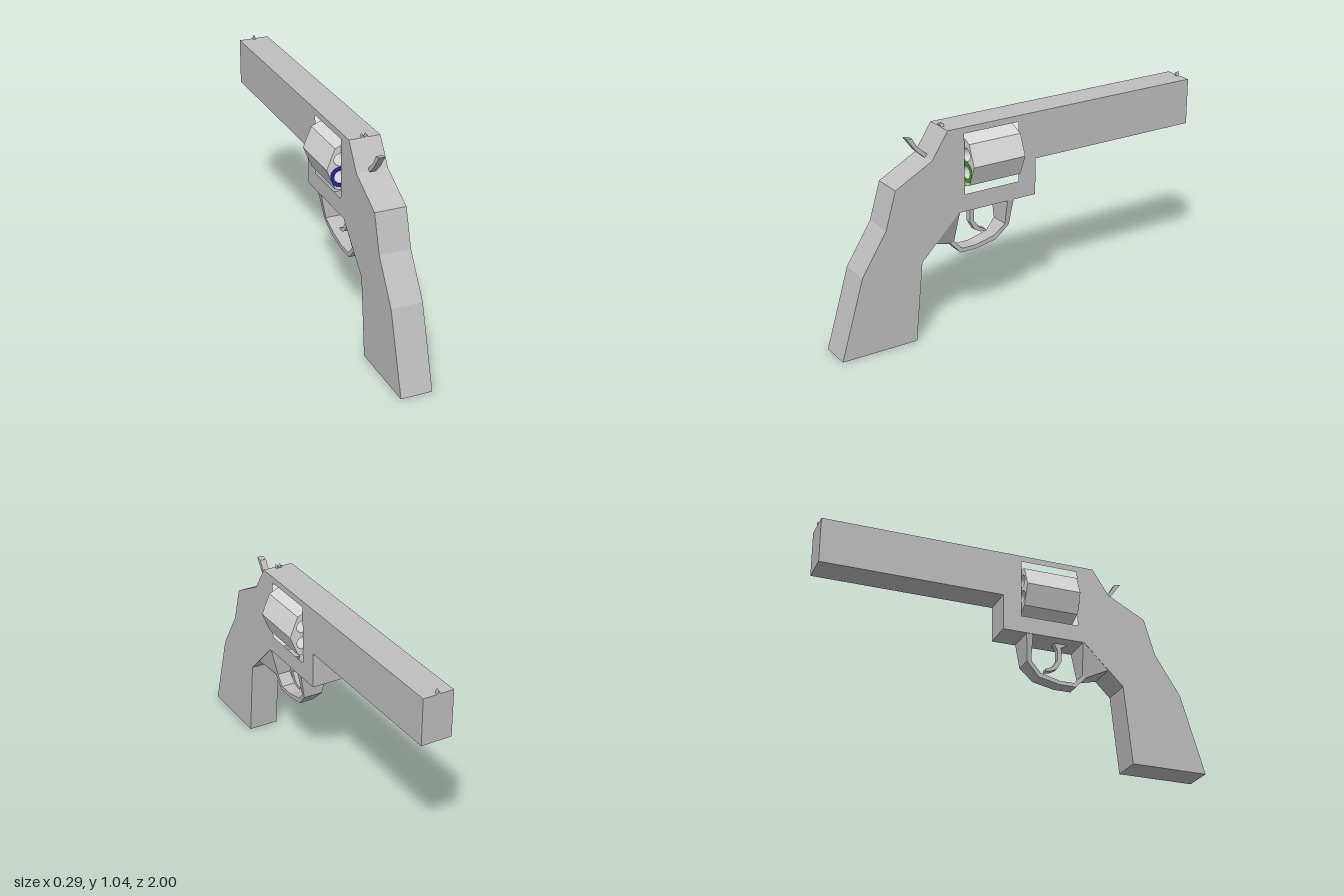
import * as THREE from 'three';

const mat = (name, color, extra = {}) => {
  const m = new THREE.MeshStandardMaterial({ color, ...extra });
  m.name = name;
  return m;
};

export function createModel() {
  const group = new THREE.Group();
  const steel = mat('steel grey', 0xbfbfbf);
  const light = mat('light steel', 0xd8d8d8);
  const green = mat('green', 0x40a214);
  const blue = mat('blue', 0x2525aa);

  const add = (name, geometry, material) => {
    const mesh = new THREE.Mesh(geometry, material);
    mesh.name = name;
    group.add(mesh);
    return mesh;
  };
  // Side profiles are given as [z, y] and extruded across x
  const pts = (list) => list.map(([z, y]) => new THREE.Vector2(-z, y));
  const plate = (profile, width, hole) => {
    const shape = new THREE.Shape(pts(profile));
    if (hole) shape.holes.push(new THREE.Path(pts(hole)));
    const g = new THREE.ExtrudeGeometry(shape, { depth: width, bevelEnabled: false });
    return g.translate(0, 0, -width / 2).rotateY(Math.PI / 2);
  };

  // Grip, frame and barrel in one slab with a window for the drum
  add('frame', plate(
    [[1, 0], [0.88, 0.4], [0.75, 0.605], [0.695, 0.79], [0.5, 0.895], [0.415, 1.025],
      [-1, 1.025], [-1, 0.79], [-0.07, 0.79], [-0.07, 0.605], [0.36, 0.605], [0.565, 0.4], [0.605, 0]],
    0.156,
    [[0.327, 0.692], [0.327, 0.994], [0.026, 0.994], [0.026, 0.692]]), steel);

  // Eight-sided drum with six open chambers
  const drumY = 0.843, drumBack = 0.315, drumLength = 0.283, drumR = 0.144;
  const chamberR = 0.087, boreR = 0.032;
  const drum = new THREE.Shape();
  for (let i = 0; i < 8; i++) {
    const a = i * Math.PI / 4;
    drum[i ? 'lineTo' : 'moveTo'](drumR * Math.cos(a), drumR * Math.sin(a));
  }
  drum.closePath();
  for (let i = 0; i < 6; i++) {
    const a = Math.PI / 6 + i * Math.PI / 3;
    drum.holes.push(new THREE.Path().absarc(
      chamberR * Math.cos(a), chamberR * Math.sin(a), boreR, 0, Math.PI * 2, true));
  }
  add('drum', new THREE.ExtrudeGeometry(drum,
    { depth: drumLength, bevelEnabled: false, curveSegments: 10 }), light)
    .position.set(0, drumY, drumBack - drumLength);

  // Coloured chamber rims, trimmed to the edge of the drum
  for (const [side, name, material] of [[1, 'leftChamberRim', green], [-1, 'rightChamberRim', blue]]) {
    const cx = 0.075, cy = -0.0435, outline = [];
    for (let i = 0; i < 24; i++) {
      const a = i * Math.PI / 12;
      const c = Math.cos(a + Math.PI / 8);
      const r = c > 0 ? Math.min(0.052, 0.047 / c) : 0.052;
      outline.push(new THREE.Vector2(side * (cx + r * Math.cos(a)), cy + r * Math.sin(a)));
    }
    const rim = new THREE.Shape(outline);
    rim.holes.push(new THREE.Path().absarc(side * cx, cy, boreR, 0, Math.PI * 2, true));
    add(name, new THREE.ExtrudeGeometry(rim,
      { depth: 0.002, bevelEnabled: false, curveSegments: 10 }), material)
      .position.set(0, drumY, drumBack);
  }

  // Trigger guard: sections of outer z, y, inner z, y and half width
  const sections = [
    [0.49, 0.478, 0.355, 0.608, 0.077],
    [0.385, 0.436, 0.365, 0.446, 0.035],
    [0.33, 0.377, 0.32, 0.397, 0.035],
    [0.24, 0.377, 0.243, 0.397, 0.035],
    [0.13, 0.4, 0.14, 0.423, 0.037],
    [0.065, 0.468, 0.087, 0.476, 0.05],
    [0.053, 0.608, 0.087, 0.608, 0.076],
  ].map(([oz, oy, iz, iy, w]) => [[w, oy, oz], [w, iy, iz], [-w, iy, iz], [-w, oy, oz]]);
  const verts = [];
  for (let s = 0; s < sections.length - 1; s++) {
    for (let k = 0; k < 4; k++) {
      const n = (k + 1) % 4;
      const a = sections[s][k], b = sections[s][n];
      const c = sections[s + 1][n], d = sections[s + 1][k];
      verts.push(...a, ...d, ...c, ...a, ...c, ...b);
    }
  }
  const guard = new THREE.BufferGeometry();
  guard.setAttribute('position', new THREE.Float32BufferAttribute(verts, 3));
  guard.computeVertexNormals();
  add('triggerGuard', guard, steel);

  // Curved trigger
  add('trigger', plate(
    [[0.305, 0.61], [0.262, 0.585], [0.264, 0.515], [0.238, 0.468], [0.205, 0.45], [0.176, 0.447],
      [0.176, 0.458], [0.212, 0.474], [0.241, 0.515], [0.241, 0.57], [0.222, 0.61]], 0.032), steel);

  // Hammer spur
  add('hammer', plate(
    [[0.6, 1.003], [0.572, 0.965], [0.55, 0.935], [0.5, 0.89], [0.47, 0.9],
      [0.49, 0.908], [0.54, 0.952], [0.568, 0.998]], 0.032), steel);

  // Sights: small triangular blades
  const sight = (name, x, z, width, height) => {
    const shape = new THREE.Shape([
      new THREE.Vector2(-width / 2, 0), new THREE.Vector2(width / 2, 0), new THREE.Vector2(0, height)]);
    add(name, new THREE.ExtrudeGeometry(shape, { depth: 0.018, bevelEnabled: false }), steel)
      .position.set(x, 1.024, z);
  };
  sight('frontSight', 0, -1, 0.016, 0.021);
  for (const s of [-1, 1]) sight(s > 0 ? 'rearSightLeft' : 'rearSightRight', s * 0.009, 0.397, 0.014, 0.016);

  return group;
}
